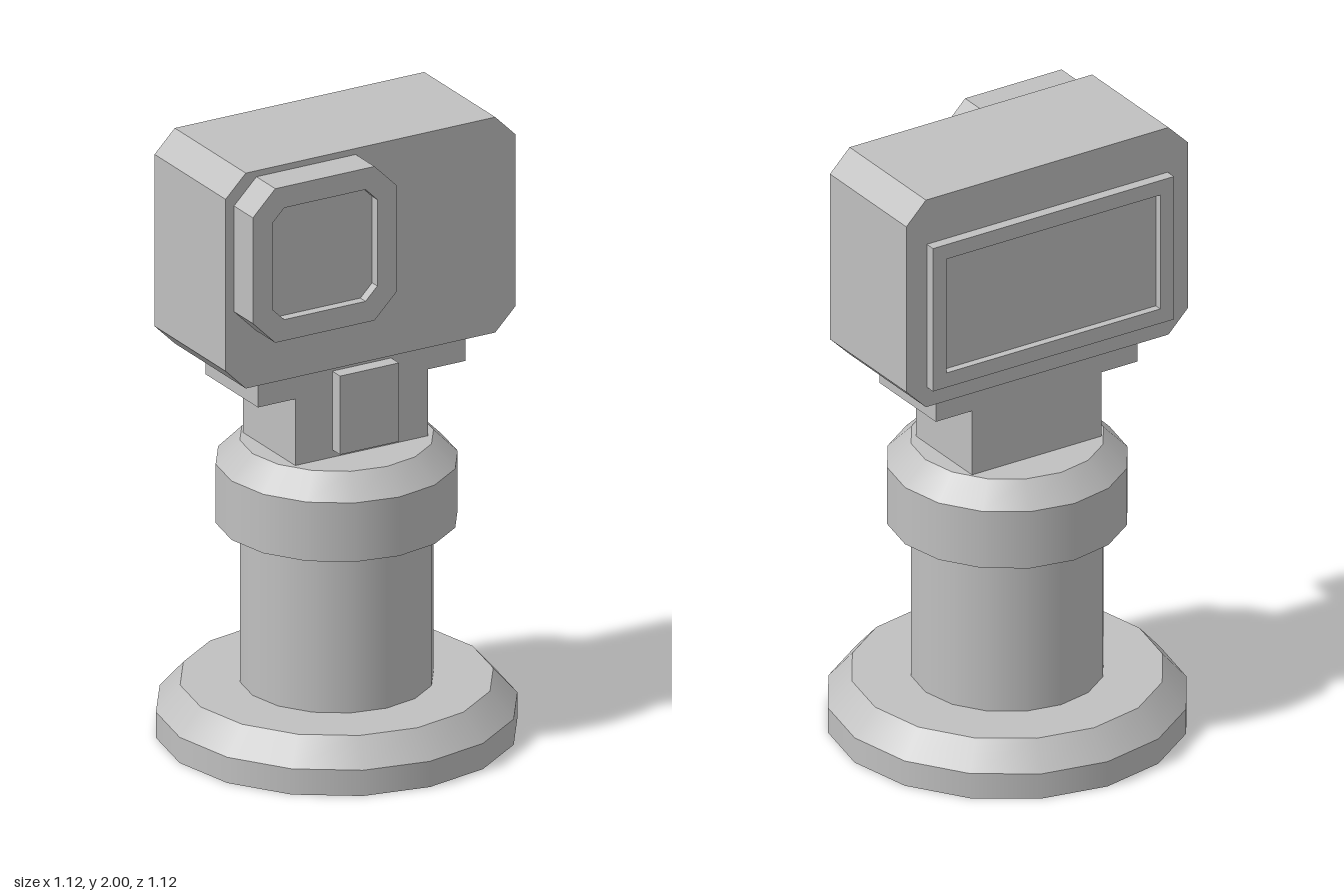
import * as THREE from 'three';

const grey = new THREE.MeshStandardMaterial({ color: 0xc0c0c0 });
grey.name = 'plain grey';

// Rectangle with cut corners, centred on the given point
function cutCorners(path, x0, x1, y0, y1, c) {
  const pts = [[x0 + c, y0], [x1 - c, y0], [x1, y0 + c], [x1, y1 - c],
    [x1 - c, y1], [x0 + c, y1], [x0, y1 - c], [x0, y0 + c]];
  path.setFromPoints((c > 0 ? pts : pts.filter((p, i) => i % 2 === 0))
    .map(([x, y]) => new THREE.Vector2(x, y)));
  return path;
}

// Flat-faced slab between two depths, with an optional opening
function slab(name, outline, z0, z1, hole) {
  const shape = cutCorners(new THREE.Shape(), ...outline);
  if (hole) shape.holes.push(cutCorners(new THREE.Path(), ...hole));
  const geo = new THREE.ExtrudeGeometry(shape, { depth: z1 - z0, bevelEnabled: false });
  geo.translate(0, 0, z0);
  const mesh = new THREE.Mesh(geo, grey);
  mesh.name = name;
  return mesh;
}

// Box given by its limits
function block(name, x0, x1, y0, y1, z0, z1) {
  const geo = new THREE.BoxGeometry(x1 - x0, y1 - y0, z1 - z0);
  geo.translate((x0 + x1) / 2, (y0 + y1) / 2, (z0 + z1) / 2);
  const mesh = new THREE.Mesh(geo, grey);
  mesh.name = name;
  return mesh;
}

// Sixteen-sided ring between two heights
function ring(name, rBottom, rTop, y0, y1) {
  const geo = new THREE.CylinderGeometry(rTop, rBottom, y1 - y0, 16);
  geo.translate(0, (y0 + y1) / 2, 0);
  const mesh = new THREE.Mesh(geo, grey);
  mesh.name = name;
  return mesh;
}

export function createModel() {
  const model = new THREE.Group();
  model.name = 'pedestalScanner';

  // Round pedestal: foot, column and collar
  const pedestal = new THREE.Group();
  pedestal.name = 'pedestal';
  pedestal.add(
    ring('foot', 0.56, 0.56, 0, 0.085),
    ring('footBevel', 0.56, 0.485, 0.085, 0.17),
    ring('column', 0.3, 0.3, 0.17, 0.7),
    ring('collar', 0.375, 0.375, 0.7, 0.895),
    ring('collarBevel', 0.375, 0.3, 0.895, 0.97),
  );

  // T-shaped bracket with a cover plate on the front
  const bracket = new THREE.Group();
  bracket.name = 'bracket';
  bracket.add(
    block('bracketStem', -0.237, 0.237, 0.97, 1.19, -0.164, 0.15),
    block('bracketFlange', -0.37, 0.37, 1.19, 1.287, -0.164, 0.15),
    block('bracketPlate', -0.105, 0.105, 0.995, 1.255, 0.15, 0.197),
  );

  // Head with cut corners
  const head = new THREE.Group();
  head.name = 'head';
  head.add(slab('headBody', [-0.517, 0.517, 1.287, 2, 0.072], -0.223, 0.203));

  // Front window housing, recessed in the middle
  const eye = [-0.487, 0.027, 1.47, 1.98, 0.08];
  head.add(
    slab('windowHousing', eye, 0.203, 0.285),
    slab('windowRim', eye, 0.285, 0.316, [-0.417, -0.043, 1.54, 1.91, 0.042]),
  );

  // Rear panel with a recessed screen
  const panel = [-0.442, 0.442, 1.355, 1.847, 0];
  head.add(
    slab('rearPanel', panel, -0.233, -0.223),
    slab('rearPanelFrame', panel, -0.258, -0.233, [-0.392, 0.392, 1.405, 1.797, 0]),
  );

  model.add(pedestal, bracket, head);
  return model;
}
